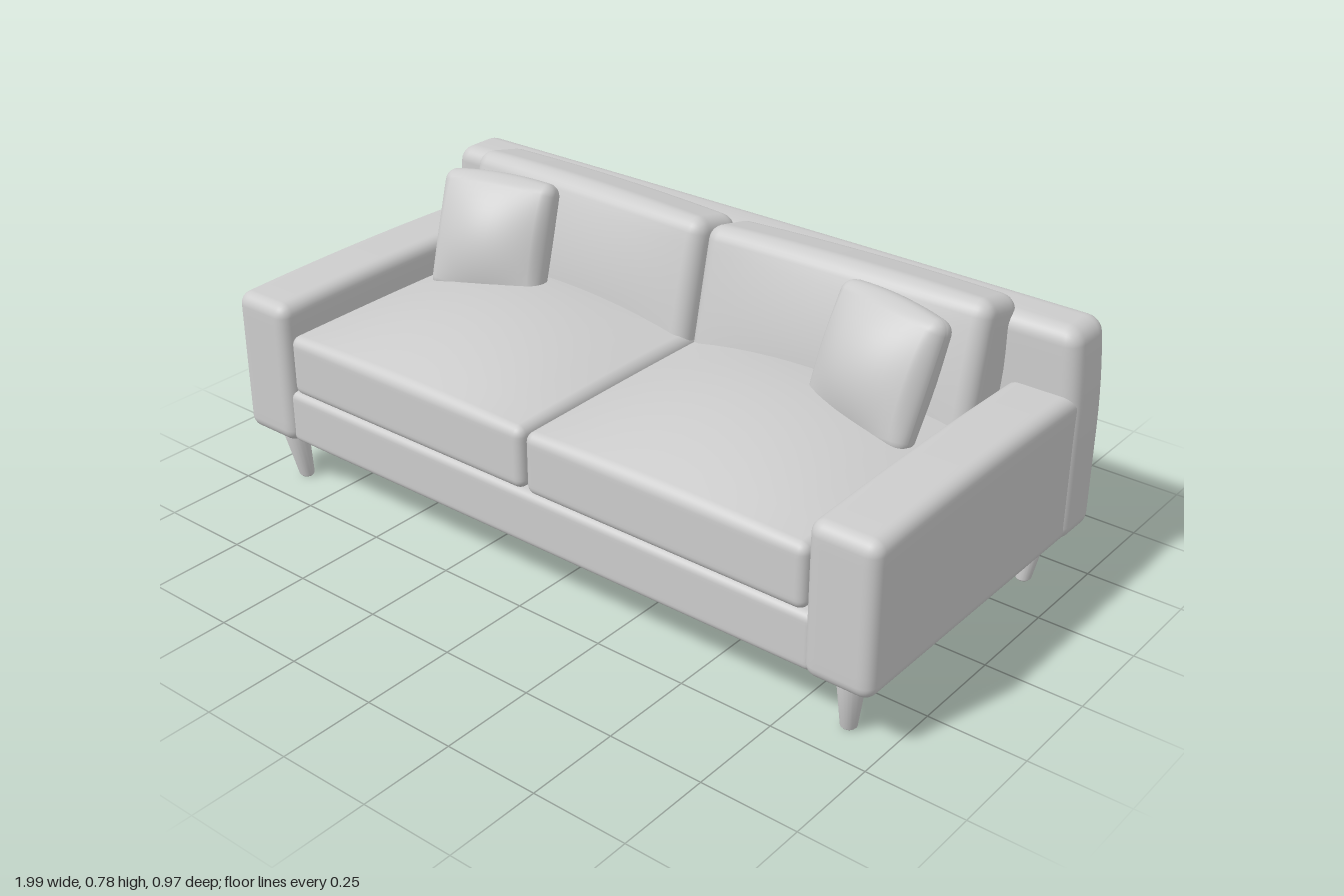
import * as THREE from 'three';
import { mergeVertices } from 'three/addons/utils/BufferGeometryUtils.js';

const fabric = new THREE.MeshStandardMaterial({ color: 0xcccccc });
fabric.name = 'light grey';

// Rounded box with subdivided faces; puff(p, u, v, w) moves each vertex (u, v, w in -1..1).
function softBox(w, h, d, r, puff) {
  const n = 20, k = 0.6;
  let g = new THREE.BoxGeometry(w, h, d, n, n, n);
  g.deleteAttribute('uv');
  g.deleteAttribute('normal');
  g = mergeVertices(g, 1e-5);
  const half = [w / 2, h / 2, d / 2];
  const pos = g.attributes.position;
  const p = new THREE.Vector3(), inner = new THREE.Vector3();
  for (let i = 0; i < pos.count; i++) {
    p.fromBufferAttribute(pos, i);
    half.forEach((H, a) => {
      // crowd the grid into the rounded rim
      const c = p.getComponent(a), t = Math.abs(c) / H;
      const m = t < k ? (t / k) * (H - r) : H - r + ((t - k) / (1 - k)) * r;
      p.setComponent(a, Math.sign(c) * m);
      inner.setComponent(a, Math.sign(c) * Math.min(m, H - r));
    });
    p.sub(inner).setLength(r).add(inner);
    if (puff) puff(p, p.x / half[0], p.y / half[1], p.z / half[2]);
    pos.setXYZ(i, p.x, p.y, p.z);
  }
  g.computeVertexNormals();
  return g;
}

const dome = (a, b) => Math.max(0, 1 - a * a) * Math.max(0, 1 - b * b);

// Tapered leg: the foot sits slightly inward of the top.
function legGeometry() {
  const profile = [[0, 0], [0.016, 0], [0.02, 0.005], [0.037, 0.17], [0, 0.17]];
  const g = new THREE.LatheGeometry(profile.map(([x, y]) => new THREE.Vector2(x, y)), 20);
  return g;
}

export function createModel() {
  const sofa = new THREE.Group();
  sofa.name = 'sofa';

  function add(name, geometry, x, y, z) {
    const mesh = new THREE.Mesh(geometry, fabric);
    mesh.name = name;
    mesh.position.set(x, y, z);
    sofa.add(mesh);
    return mesh;
  }

  // Frame
  add('base', softBox(1.66, 0.148, 0.87, 0.02), 0, 0.231, 0.037);
  add('backrest', softBox(1.994, 0.56, 0.152, 0.04, (p, u, v, w) => {
    if (v > 0) p.x *= 1 - 0.02 * v * v;
    if (v > 0.9) p.y += 0.006 * dome(u, w);
  }), 0, 0.435, -0.409);

  for (const s of [1, -1]) {
    const side = s > 0 ? 'left' : 'right';

    add(side + 'Arm', softBox(0.18, 0.393, 0.92, 0.034, (p, u, v, w) => {
      if (v > 0) p.y += 0.01 * v * (1 - w * w);
    }), s * 0.9, 0.35, 0.025);

    // Seat cushion with a crowned top
    add(side + 'SeatCushion', softBox(0.802, 0.165, 0.84, 0.025, (p, u, v, w) => {
      if (v > 0) p.y += 0.065 * v * dome(u, w);
    }), s * 0.405, 0.387, 0.055);

    // Back cushion leaning on the backrest
    const back = add(side + 'BackCushion', softBox(0.8, 0.4, 0.17, 0.04, (p, u, v, w) => {
      p.z += 0.028 * w * dome(u, v);
      if (v > 0) p.y += 0.008 * v * (1 - u * u);
    }), s * 0.405, 0.562, -0.262);
    back.rotation.set(-0.22, s * 0.03, 0, 'YXZ');

    // Puffed throw pillow, turned toward the middle
    const pillow = add(side + 'ThrowPillow', softBox(0.33, 0.32, 0.07, 0.03, (p, u, v, w) => {
      p.z += 0.062 * w * dome(u, v);
      p.y += 0.012 * v * (1 - u * u);
    }), s * 0.605, 0.615, -0.09);
    pillow.rotation.set(-0.36, -s * 0.24, 0, 'YXZ');

    // Legs
    for (const f of [1, -1]) {
      const g = legGeometry();
      const shear = new THREE.Matrix4().set(
        1, s * 0.08, 0, 0,
        0, 1, 0, 0,
        0, f * 0.12, 1, 0,
        0, 0, 0, 1);
      g.applyMatrix4(shear);
      add(side + (f > 0 ? 'FrontLeg' : 'BackLeg'), g, s * 0.884, 0, f > 0 ? 0.39 : -0.381);
    }
  }
  return sofa;
}
